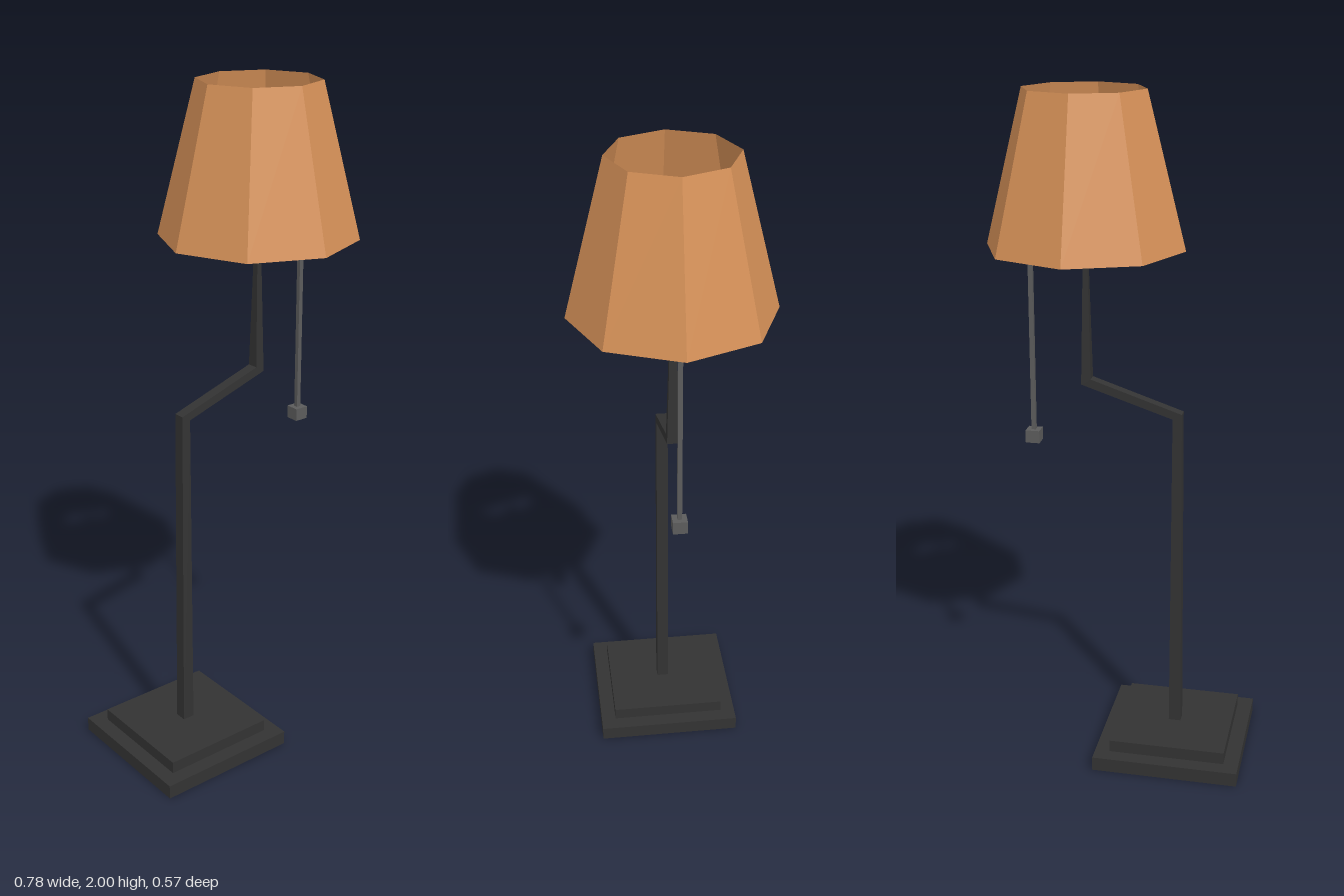
import * as THREE from 'three';

export function createModel() {
  const lamp = new THREE.Group();
  lamp.name = 'lamp';

  const mat = (name, color, extra = {}) => {
    const m = new THREE.MeshStandardMaterial({ color, flatShading: true, ...extra });
    m.name = name;
    return m;
  };
  const dark = mat('darkMetal', 0x333333);
  const grey = mat('greyMetal', 0x5c5c5c);
  const amber = mat('amberShade', 0xd69158, { side: THREE.DoubleSide });
  const pale = mat('paleGlass', 0xe0e0e0);

  const add = (name, geometry, material, x, y, z = 0) => {
    const mesh = new THREE.Mesh(geometry, material);
    mesh.name = name;
    mesh.position.set(x, y, z);
    lamp.add(mesh);
    return mesh;
  };

  // stepped square base
  add('basePlate', new THREE.BoxGeometry(0.44, 0.043, 0.44), dark, -0.175, 0.0215);
  add('baseStep', new THREE.BoxGeometry(0.35, 0.037, 0.35), dark, -0.175, 0.0615);

  // bent, tapering square stem
  add('stem', stemGeometry([
    { left: [-0.193, 0.07], right: [-0.156, 0.07], depth: 0.018 },
    { left: [-0.182, 1.09], right: [-0.155, 1.074], depth: 0.017 },
    { left: [0.087, 1.18], right: [0.115, 1.163], depth: 0.017 },
    { left: [0.1, 1.72], right: [0.106, 1.72], depth: 0.003 },
  ]), dark, 0, 0);

  // faceted bulb
  add('bulb', new THREE.OctahedronGeometry(0.064), pale, 0.103, 1.775);

  // open eight-sided shade
  add('shade', new THREE.CylinderGeometry(0.176, 0.287, 0.437, 8, 1, true), amber, 0.103, 1.7815);

  // pull cord with a cube on its end
  add('pullCord', new THREE.BoxGeometry(0.013, 0.71, 0.013), grey, 0.264, 1.365);
  add('pullKnob', new THREE.BoxGeometry(0.042, 0.038, 0.042), grey, 0.264, 0.992);

  return lamp;
}

// joins four-cornered cross-sections, with mitred bends, into one closed solid
function stemGeometry(sections) {
  const positions = [];
  const index = [];
  for (const { left, right, depth } of sections) {
    positions.push(...left, depth, ...right, depth, ...right, -depth, ...left, -depth);
  }
  for (let s = 0; s < sections.length - 1; s++) {
    for (let i = 0; i < 4; i++) {
      const a = s * 4 + i;
      const b = s * 4 + ((i + 1) % 4);
      index.push(a, b, b + 4, a, b + 4, a + 4);
    }
  }
  const t = (sections.length - 1) * 4;
  index.push(0, 2, 1, 0, 3, 2, t, t + 1, t + 2, t, t + 2, t + 3);
  const indexed = new THREE.BufferGeometry();
  indexed.setAttribute('position', new THREE.Float32BufferAttribute(positions, 3));
  indexed.setIndex(index);
  const geometry = indexed.toNonIndexed();
  geometry.computeVertexNormals();
  return geometry;
}
